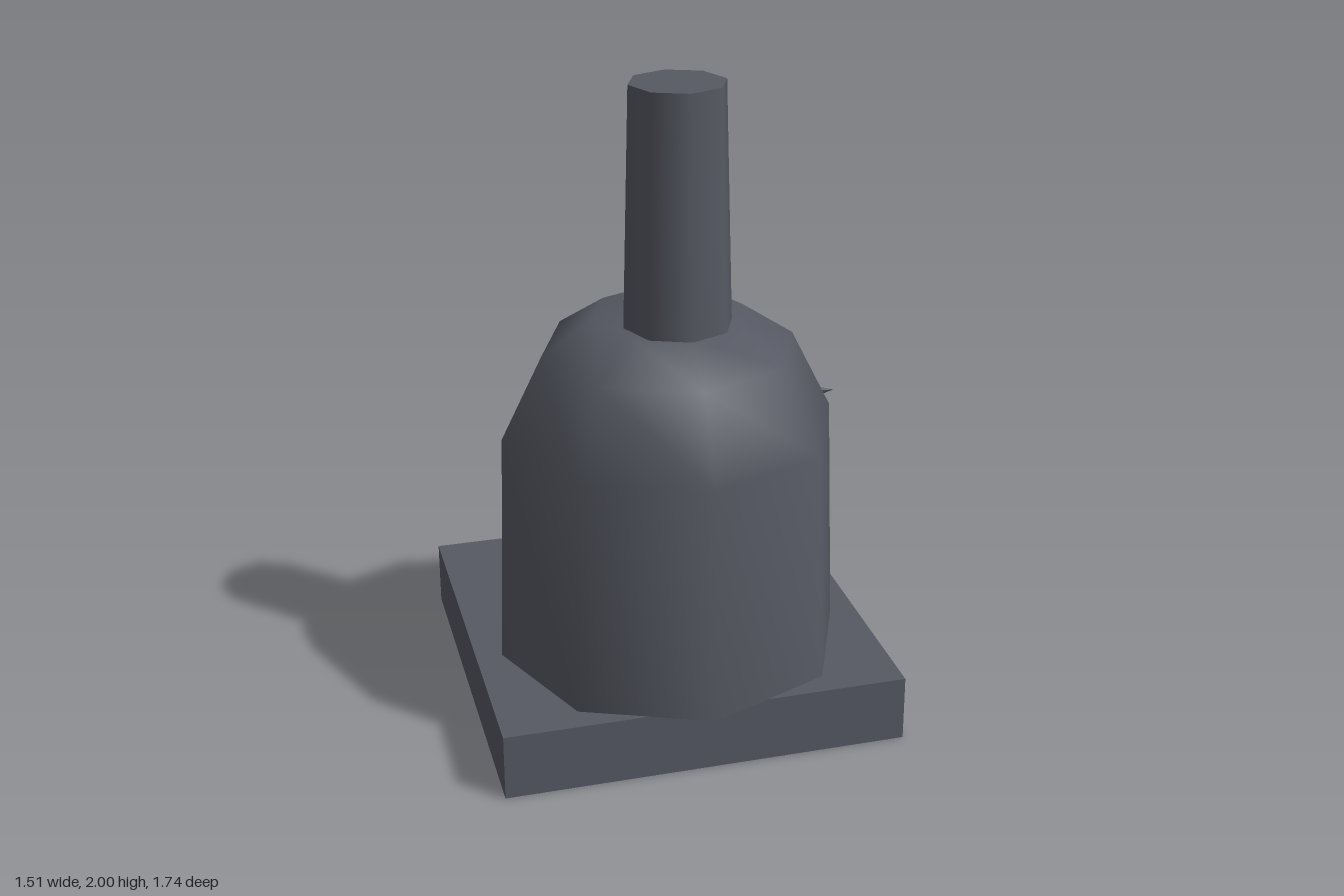
import * as THREE from 'three';

export function createModel() {
  const root = new THREE.Group();
  root.name = 'furnaceAndAnvil';

  const material = (name, color) => {
    const m = new THREE.MeshStandardMaterial({ color });
    m.name = name;
    return m;
  };
  const iron = material('darkIron', 0x565963);
  const ember = material('emberOrange', 0xcd732c);
  const wood = material('stumpWood', 0x805430);

  const add = (parent, name, geometry, mat, x, y, z) => {
    const mesh = new THREE.Mesh(geometry, mat);
    mesh.name = name;
    mesh.position.set(x, y, z);
    parent.add(mesh);
    return mesh;
  };
  const group = (name) => {
    const g = new THREE.Group();
    g.name = name;
    root.add(g);
    return g;
  };

  // Furnace: square slab, eight-sided domed body, off-centre chimney
  const furnace = group('furnace');
  add(furnace, 'base', new THREE.BoxGeometry(1.23, 0.205, 1.23), iron, -0.145, 0.1025, 0.18);

  const profile = [[0.535, 0.205], [0.51, 0.93], [0.385, 1.18], [0.228, 1.285], [0, 1.285]]
    .map(([r, y]) => new THREE.Vector2(r, y));
  add(furnace, 'domedBody', new THREE.LatheGeometry(profile, 8), iron, -0.145, 0, 0.335);
  // Underside of the body where it overhangs the slab
  const underside = new THREE.CircleGeometry(0.535, 8).rotateX(Math.PI / 2);
  add(furnace, 'bodyUnderside', underside, iron, -0.145, 0.2045, 0.335);

  add(furnace, 'chimney', new THREE.CylinderGeometry(0.143, 0.163, 0.715, 8), iron, -0.143, 1.6425, 0.435);
  add(furnace, 'fireDoor', new THREE.BoxGeometry(0.46, 0.41, 0.215), ember, -0.14, 0.49, -0.1075);

  // Anvil on its stump, behind the furnace
  const anvil = group('anvil');
  add(anvil, 'stump', new THREE.CylinderGeometry(0.153, 0.178, 0.205, 8), wood, 0.32, 0.1025, -0.692);
  add(anvil, 'neck', new THREE.BoxGeometry(0.18, 0.25, 0.18), iron, 0.32, 0.33, -0.692);
  add(anvil, 'block', new THREE.BoxGeometry(0.46, 0.125, 0.23), iron, 0.32, 0.5175, -0.692);
  const horn = new THREE.ConeGeometry(0.058, 0.2, 6).rotateY(Math.PI / 2).rotateZ(-Math.PI / 2);
  // A vertex of the horn points straight up
  add(anvil, 'horn', horn, iron, 0.65, 0.515, -0.692);

  return root;
}
